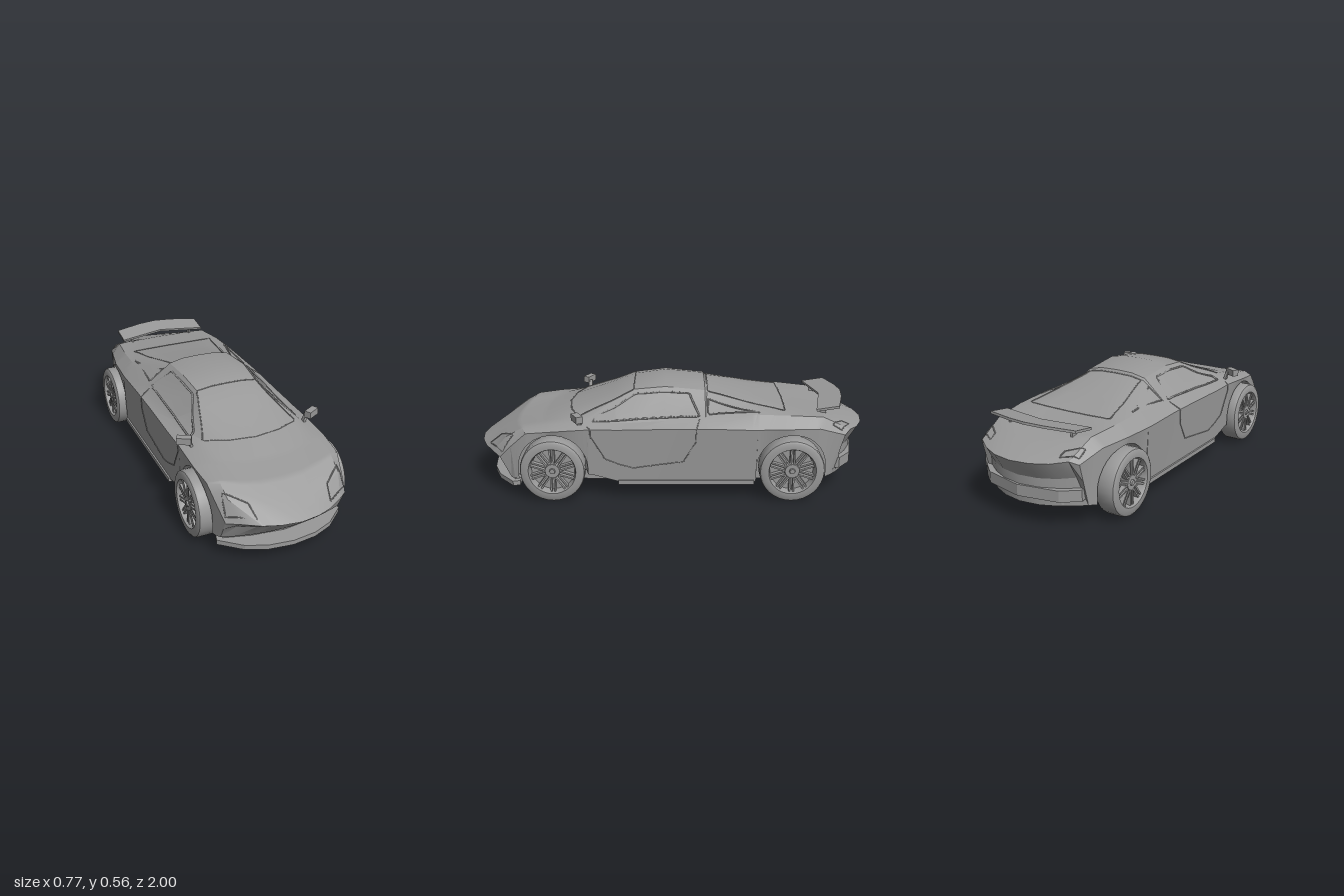
import * as THREE from 'three';
import { toCreasedNormals } from 'three/addons/utils/BufferGeometryUtils.js';

const paint = new THREE.MeshStandardMaterial({ color: 0x999999, side: THREE.DoubleSide });
paint.name = 'plain grey';

// Body stations, front to back:
// z at flank, z at centre line, roof y, cabin edge x/y, belt x/y, widest x/y, sill y
const STATIONS = [
  [0.86, 1.00, 0.225, 0.17, 0.222, 0.25, 0.22, 0.305, 0.21, 0.10],
  [0.80, 0.91, 0.275, 0.19, 0.29, 0.28, 0.31, 0.32, 0.272, 0.10],
  [0.72, 0.80, 0.335, 0.20, 0.347, 0.285, 0.358, 0.335, 0.345, 0.10],
  [0.59, 0.66, 0.364, 0.21, 0.37, 0.285, 0.376, 0.346, 0.358, 0.12],
  [0.40, 0.53, 0.405, 0.245, 0.405, 0.29, 0.388, 0.346, 0.37, 0.13],
  [0.26, 0.30, 0.488, 0.19, 0.474, 0.292, 0.385, 0.347, 0.368, 0.09],
  [0.19, 0.19, 0.532, 0.16, 0.52, 0.293, 0.388, 0.347, 0.37, 0.085],
  [0.03, 0.03, 0.555, 0.17, 0.537, 0.295, 0.398, 0.347, 0.372, 0.085],
  [-0.17, -0.17, 0.536, 0.167, 0.517, 0.295, 0.412, 0.35, 0.375, 0.085],
  [-0.18, -0.18, 0.524, 0.167, 0.507, 0.295, 0.412, 0.35, 0.375, 0.085],
  [-0.40, -0.40, 0.468, 0.21, 0.46, 0.29, 0.43, 0.353, 0.37, 0.09],
  [-0.58, -0.60, 0.425, 0.235, 0.428, 0.285, 0.422, 0.345, 0.37, 0.10],
  [-0.74, -0.80, 0.395, 0.20, 0.405, 0.265, 0.408, 0.315, 0.362, 0.10],
  [-0.87, -1.00, 0.325, 0.18, 0.328, 0.25, 0.338, 0.285, 0.32, 0.108],
];
const WHEEL_Z = [0.59, -0.60], WHEEL_Y = 0.162, ARCH = 0.175, TUCK_Z = 0.78;

// Nine points of the half section at a flank position, top centre to floor centre
function section(z) {
  let k = 0;
  while (k < STATIONS.length - 2 && z < STATIONS[k + 1][0]) k++;
  const a = STATIONS[k], b = STATIONS[k + 1], f = (z - a[0]) / (b[0] - a[0]);
  const [zs, zc, yt, xr, yr, xb, yb, xw, yw, sill] = a.map((v, i) => v + (b[i] - v) * f);
  const floor = Math.min(sill, 0.075 + 0.07 * Math.max(0, Math.abs(z) - 0.4));
  let ys = sill;
  for (const w of WHEEL_Z) {
    const d = ARCH ** 2 - (z - w) ** 2;
    if (d > 0) ys = Math.max(ys, Math.min(WHEEL_Y + Math.sqrt(d), yw - 0.006));
  }
  const xs = Math.min(xw, 0.34), xi = 0.268;
  // the lower edge tucks under the overhangs
  const zLow = zs - Math.sign(zs) * 0.65 * Math.max(0, Math.abs(zs) - TUCK_Z);
  const lowBow = zs > 0 ? 0.4 : 1;
  return [[0, yt], [xr * 0.55, yt * 0.85 + yr * 0.15], [xr, yr], [xb, yb], [xw, yw],
    [xs, ys], [xi, ys], [xi, floor], [0, floor]].map(([x, y], i) => {
    const bow = (zc - zs) * Math.max(0, 1 - (x / xw) ** 2);
    return new THREE.Vector3(x, y, i > 4 ? zLow + bow * lowBow : zs + bow);
  });
}

// A point on the body skin: flank position z, section parameter t from 0 to 8
function skin(z, t) {
  const s = section(z), i = Math.min(7, Math.floor(t));
  return s[i].clone().lerp(s[i + 1], t - i);
}

function meshFrom(pos, index, name, crease) {
  const g = new THREE.BufferGeometry();
  g.setAttribute('position', new THREE.Float32BufferAttribute(pos, 3));
  g.setIndex(index);
  return part(toCreasedNormals(g, crease), name, 0, 0, 0);
}

function buildBody() {
  const zs = STATIONS.map(s => s[0]);
  for (const w of WHEEL_Z) {
    for (let i = 0; i <= 15; i++) zs.push(w + Math.cos(i / 15 * Math.PI) * (ARCH - 0.0005));
    zs.push(w + ARCH + 0.001, w - ARCH - 0.001);
  }
  zs.sort((a, b) => b - a);
  const pos = [], index = [];
  zs.forEach((z, i) => {
    const s = section(z);
    for (let j = 0; j < 16; j++) {
      const p = s[j < 9 ? j : 16 - j], n = (j + 1) % 16;
      pos.push(j < 9 ? p.x : -p.x, p.y, p.z);
      if (i < zs.length - 1) {
        const a = i * 16 + j, b = i * 16 + n;
        index.push(a, b, a + 16, b, b + 16, a + 16);
      }
    }
  });
  return meshFrom(pos, index, 'bodyShell', 0.42);
}

// Recessed panel that closes the nose or the tail
function endPanel(z, inset, name) {
  const s = section(z), pos = [], index = [];
  const low = s[8], corner = s[5];
  [0, 0.4, 1].forEach((f, r) => {
    for (let j = -4; j <= 4; j++) {
      const p = s[Math.abs(j)];
      const zLow = corner.z + (low.z - corner.z) * (1 - (p.x / corner.x) ** 2);
      const cut = r === 1 && Math.abs(j) < 4 ? inset : 0;
      pos.push(Math.sign(j) * p.x, p.y + (low.y - p.y) * f, p.z + (zLow - p.z) * f - cut);
      if (r < 2 && j < 4) {
        const a = r * 9 + j + 4, b = a + 1, c = a + 9, d = c + 1;
        if (z > 0) index.push(a, c, b, b, c, d);
        else index.push(a, b, c, b, d, c);
      }
    }
  });
  return meshFrom(pos, index, name, 0.4);
}

// Thin seam following the skin through [z, t] corners
function trim(corners, side, name, r = 0.003) {
  const pts = [];
  for (let i = 0; i < corners.length - 1; i++)
    for (let k = 0; k < 8; k++) {
      const [a, b] = [corners[i], corners[i + 1]], f = k / 8;
      pts.push(skin(a[0] + (b[0] - a[0]) * f, a[1] + (b[1] - a[1]) * f));
    }
  pts.push(skin(...corners.at(-1)));
  pts.forEach(p => { p.x *= side; });
  const curve = new THREE.CatmullRomCurve3(pts, false, 'centripetal');
  return part(new THREE.TubeGeometry(curve, pts.length * 2, r, 5), name, 0, 0, 0);
}

// Flat slab from a half outline [x, z], mirrored across the centre line
function slab(half, top, h, name) {
  const mirrored = half.filter(p => p[0] > 0).reverse().map(([x, z]) => [-x, z]);
  const outline = [...half, ...mirrored].map(p => new THREE.Vector2(...p));
  const g = new THREE.ExtrudeGeometry(new THREE.Shape(outline), { depth: h, bevelEnabled: false });
  g.rotateX(Math.PI / 2);
  return part(g, name, 0, top, 0);
}

function part(geometry, name, x, y, z) {
  const m = new THREE.Mesh(geometry, paint);
  m.name = name;
  m.position.set(x, y, z);
  return m;
}

function buildWheel(side, z) {
  const g = new THREE.Group();
  g.name = 'wheel';
  const profile = [[0, -0.035], [0.11, -0.035], [0.115, -0.0525], [0.148, -0.0525], [0.158, -0.046], [0.162, -0.034],
    [0.162, 0.034], [0.158, 0.046], [0.148, 0.0525], [0.118, 0.0525], [0.113, 0.042], [0.108, 0.012], [0, 0.012]];
  const tyre = new THREE.LatheGeometry(profile.map(p => new THREE.Vector2(...p)), 32);
  g.add(part(toCreasedNormals(tyre, 0.6), 'tyreAndRim', 0, 0, 0));
  // paired spokes
  for (let i = 0; i < 10; i++) for (const o of [-0.009, 0.009]) {
    const spoke = new THREE.Group();
    spoke.name = 'spoke';
    spoke.rotation.y = i / 10 * Math.PI * 2;
    spoke.add(part(new THREE.BoxGeometry(0.075, 0.024, 0.008), 'spokeBar', 0.074, 0.03, o));
    g.add(spoke);
  }
  g.add(part(new THREE.CylinderGeometry(0.036, 0.044, 0.03, 16), 'hub', 0, 0.028, 0));
  g.add(part(new THREE.CylinderGeometry(0.013, 0.016, 0.008, 8), 'hubCap', 0, 0.046, 0));
  g.rotation.z = -side * Math.PI / 2;
  g.position.set(side * 0.3325, WHEEL_Y, z);
  return g;
}

export function createModel() {
  const car = new THREE.Group();
  car.name = 'sportsCar';
  car.add(buildBody(), endPanel(0.86, 0.02, 'frontIntake'), endPanel(-0.87, -0.03, 'rearPanel'));

  // aero parts
  car.add(slab([[0, 0.94], [0.12, 0.925], [0.22, 0.885], [0.32, 0.80], [0.31, 0.765], [0, 0.765]], 0.082, 0.024, 'frontSplitter'));
  car.add(slab([[0, 0.85], [0.16, 0.83], [0.29, 0.795], [0.27, 0.765], [0, 0.765]], 0.103, 0.022, 'splitterMount'));
  car.add(slab([[0, -0.74], [0.27, -0.785], [0.28, -0.85], [0.2, -0.915], [0, -0.957]], 0.195, 0.055, 'rearBumper'));
  car.add(slab([[0, -0.74], [0.265, -0.78], [0.265, -0.82], [0.19, -0.885], [0, -0.925]], 0.145, 0.03, 'rearDiffuser'));

  const wing = new THREE.Group();
  wing.name = 'rearWing';
  wing.add(slab([[0, 0.035], [0.1, 0.055], [0.245, 0.085], [0.245, -0.03], [0.1, -0.068], [0, -0.08]], 0.006, 0.012, 'wingBlade'));
  wing.position.set(0, 0.448, -0.81);
  wing.rotation.x = 0.15;
  car.add(wing);

  for (const s of [1, -1]) {
    for (const z of WHEEL_Z) car.add(buildWheel(s, z));
    car.add(part(new THREE.BoxGeometry(0.012, 0.06, 0.03), 'wingPost', s * 0.18, 0.415, -0.77));
    car.add(part(new THREE.BoxGeometry(0.03, 0.022, 0.68), 'sideSill', s * 0.334, 0.088, -0.075));

    // door mirror
    const housing = part(new THREE.BoxGeometry(0.07, 0.034, 0.035), 'mirrorHousing', s * 0.338, 0.427, 0.462);
    housing.rotation.y = s * 0.5;
    const stalk = part(new THREE.BoxGeometry(0.014, 0.055, 0.02), 'mirrorStalk', s * 0.306, 0.4, 0.455);
    stalk.rotation.z = -s * 0.3;
    car.add(housing, stalk);

    // window, door and lamp outlines
    car.add(trim([[0.40, 0], [0.40, 2], [0.19, 2], [0.19, 0]], s, 'windscreenSeal'));
    car.add(trim([[-0.185, 0], [-0.185, 1.8], [-0.56, 2], [-0.56, 0]], s, 'engineCoverSeam'));
    car.add(trim([[0.36, 2.9], [0.34, 2.5], [0.18, 2.15], [-0.09, 2.15], [-0.14, 2.9], [0.36, 2.9]], s, 'sideWindowFrame', 0.005));
    car.add(trim([[-0.185, 2.25], [-0.185, 2.85], [-0.44, 2.75], [-0.185, 2.25]], s, 'quarterWindowFrame', 0.004));
    car.add(trim([[0.40, 3.6], [0.40, 4.15], [0.33, 4.6], [0.19, 4.72], [-0.06, 4.6], [-0.12, 4.25], [-0.14, 3]], s, 'doorSeam'));
    car.add(trim([[0.845, 2.1], [0.84, 3.8], [0.77, 3.2], [0.80, 2.1], [0.845, 2.1]], s, 'headlightOutline'));
    car.add(trim([[-0.84, 2.2], [-0.84, 3.5], [-0.79, 3.3], [-0.81, 2.2], [-0.84, 2.2]], s, 'tailLightOutline'));
  }
  return car;
}
